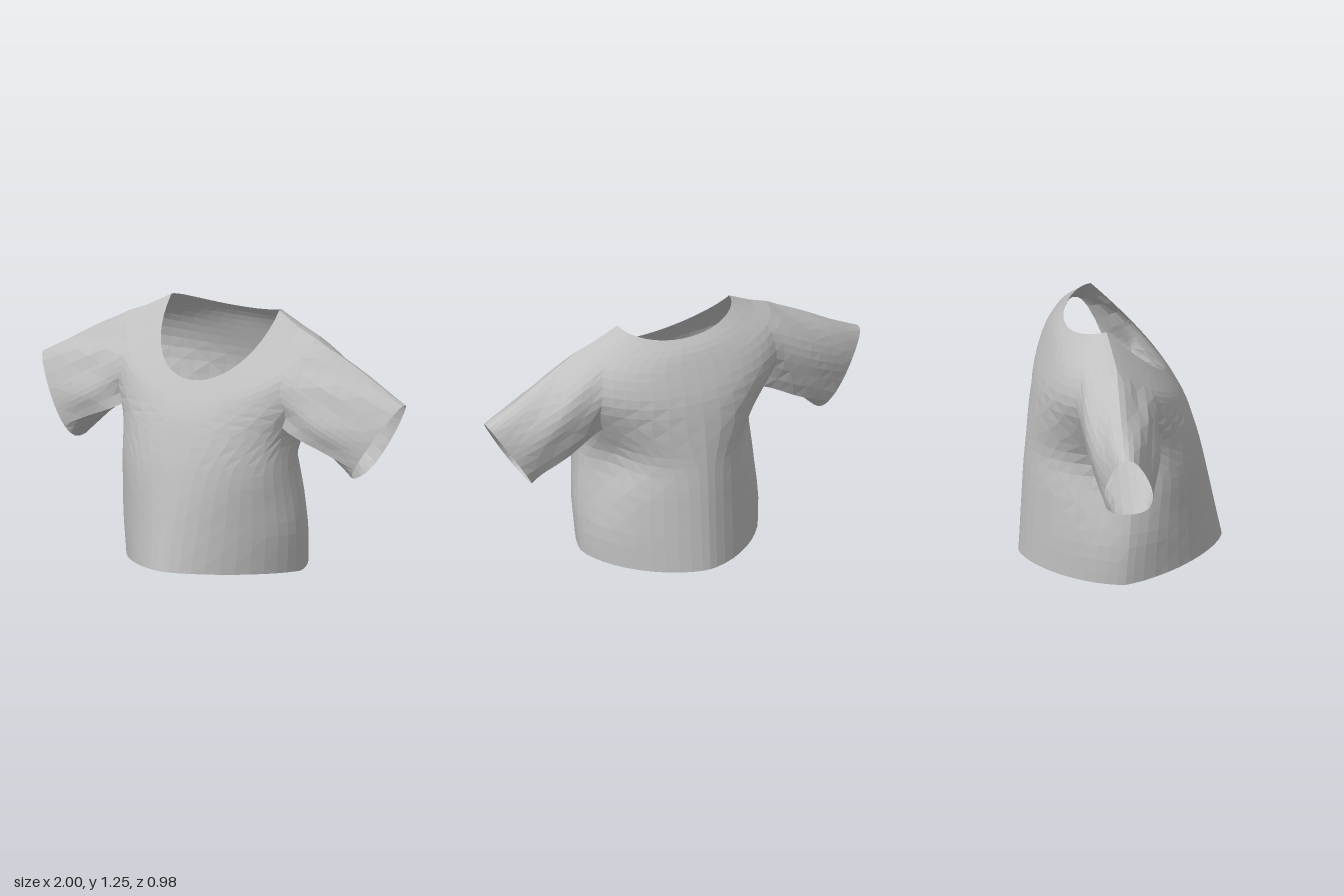
import * as THREE from 'three';

const COLS = 48, SUB = 3;            // columns round the body, rows per key ring
const HALF = 5, ROW0 = 12, ROW1 = 19; // armhole extent in columns and rows

// Key rings, hem to neckline: half width, side y, side z, front y, front z, back y, back z,
// front pointedness, back pointedness
const RINGS = [
  [0.46, 0.005, -0.03, 0.055, 0.49, 0.015, -0.485, 1.3, 1.22],
  [0.473, 0.20, -0.015, 0.22, 0.455, 0.20, -0.475, 1.25, 1.22],
  [0.462, 0.40, 0.0, 0.39, 0.42, 0.40, -0.465, 1.12, 1.2],
  [0.447, 0.59, 0.015, 0.55, 0.385, 0.57, -0.452, 1.0, 1.15],
  [0.485, 0.77, -0.05, 0.69, 0.345, 0.73, -0.435, 1.0, 1.05],
  [0.565, 0.97, -0.07, 0.77, 0.318, 0.90, -0.405, 1.15, 0.95],
  [0.545, 1.12, -0.075, 0.83, 0.288, 1.03, -0.36, 1.15, 0.93],
  [0.42, 1.185, -0.085, 0.885, 0.255, 1.13, -0.315, 1.05, 0.97],
  [0.30, 1.25, -0.10, 0.94, 0.22, 1.19, -0.265, 0.97, 1.0],
];

// Smoothly interpolated ring parameters
function ringAt(t) {
  const i = Math.min(Math.floor(t), RINGS.length - 2), f = t - i;
  const key = (k) => RINGS[Math.max(0, Math.min(RINGS.length - 1, k))];
  const [a, b, c, d] = [key(i - 1), key(i), key(i + 1), key(i + 2)];
  return b.map((v, k) => v + 0.5 * f * (c[k] - a[k]
    + f * (2 * a[k] - 5 * v + 4 * c[k] - d[k] + f * (3 * (v - c[k]) + d[k] - a[k]))));
}

const bell = (x, width) => Math.exp(-((x / width) ** 2));

// Point on the body cloth, with soft folds
function bodyPoint(row, col) {
  const t = row / SUB;
  const [w, ys, zs, yf, zf, yb, zb, ef, eb] = ringAt(t);
  // columns gather towards the side below and above the arm, rounding the armhole
  let a = (col / COLS) * Math.PI * 2;
  a -= (0.24 * bell(t - 4, 0.8) + 0.1 * bell(t - 6.5, 0.7)) * Math.sin(2 * a);
  const c = Math.cos(a), s = Math.sin(a), front = s > 0;
  const p = front ? ef : eb;
  const m = Math.pow(Math.abs(s), p);
  const x = w * Math.sign(c) * Math.pow(Math.abs(c), p);
  const y = front ? ys + (yf - ys) * m : ys + (yb - ys) * Math.pow(m, 1.5);
  const z = zs + ((front ? zf : zb) - zs) * m;
  // slanting hollow behind each arm, plus small ripples that fade at hem, neck and centre
  const hollow = front ? 0 : 0.1 * bell(-s - 0.35 - 0.6 * (y - 0.3), 0.25) * bell(y - 0.53, 0.25);
  const fade = Math.sin((Math.PI * row) / (SUB * (RINGS.length - 1))) * Math.abs(c);
  const ripple = 0.01 * fade * Math.sin(8 * s + 9 * y) * Math.sin(4 * s - 13 * y);
  const k = 1 - hollow + ripple;
  return new THREE.Vector3(x * k, y, zs + (z - zs) * k);
}

// Faceted cloth sheet from a grid of points
function sheet(rows, cols, point, skip, flip) {
  const pos = [], idx = [];
  for (let r = 0; r <= rows; r++)
    for (let c = 0; c < cols; c++) pos.push(...point(r, c).toArray());
  for (let r = 0; r < rows; r++)
    for (let c = 0; c < cols; c++) {
      if (skip && skip(r, c)) continue;
      const n = (c + 1) % cols;
      const q = [r * cols + c, (r + 1) * cols + c, (r + 1) * cols + n, r * cols + n];
      if (flip) q.reverse();
      // alternate the diagonals for an irregular weave of facets
      if ((r + c) % 2) idx.push(q[0], q[1], q[2], q[0], q[2], q[3]);
      else idx.push(q[0], q[1], q[3], q[1], q[2], q[3]);
    }
  const g = new THREE.BufferGeometry();
  g.setAttribute('position', new THREE.Float32BufferAttribute(pos, 3));
  g.setIndex(idx);
  const flat = g.toNonIndexed();
  flat.computeVertexNormals();
  return flat;
}

// Vertices round the left armhole: along the bottom, up the front, back over the top, down the back
function armholeLoop() {
  const loop = [];
  for (let c = -HALF; c < HALF; c++) loop.push(bodyPoint(ROW0, c));
  for (let r = ROW0; r < ROW1; r++) loop.push(bodyPoint(r, HALF));
  for (let c = HALF; c > -HALF; c--) loop.push(bodyPoint(ROW1, c));
  for (let r = ROW1; r > ROW0; r--) loop.push(bodyPoint(r, -HALF));
  return loop;
}

// Sleeve lofted from the armhole to the slanted cuff
function sleeveGeometry(side) {
  const loop = armholeLoop(), steps = 9;
  const up = new THREE.Vector3(0.526, 0.85, 0);
  const cuff = new THREE.Vector3(0.8825, 0.69, -0.07);
  const centre = loop.reduce((s, p) => s.add(p), new THREE.Vector3()).divideScalar(loop.length);
  const angles = loop.map((p) => {
    const d = p.clone().sub(centre);
    return Math.atan2(d.z / 0.17, d.dot(up) / 0.2);
  });
  const point = (r, c) => {
    const t = r / steps, f = angles[c], sf = Math.sin(f), cf = Math.cos(f);
    // cuff outline: wide and round below, narrow and blunt on top
    const end = cuff.clone().addScaledVector(up, 0.223 * cf);
    end.z += Math.sign(sf) * Math.pow(Math.abs(sf), 0.75) * (0.11 - 0.04 * cf) - 0.018 * cf;
    const p = loop[c].clone().lerp(end, t);
    // fullness and creases running along the sleeve, strongest near the armpit
    const fade = Math.sin(Math.PI * Math.pow(t, 0.7));
    const crease = 0.01 * fade * Math.sin(6 * f + 5 * t) * (1 - 0.5 * t);
    p.z += sf * (crease + 0.018 * Math.sin(Math.PI * t));
    p.addScaledVector(up, cf * crease * 0.6);
    p.x *= side;
    return p;
  };
  return sheet(steps, loop.length, point, null, side < 0);
}

export function createModel() {
  const cloth = new THREE.MeshStandardMaterial({ color: 0xc0c0c0, flatShading: true, side: THREE.DoubleSide });
  cloth.name = 'grey cloth';
  const model = new THREE.Group();
  model.name = 'shirt';
  const add = (name, geometry) => {
    const mesh = new THREE.Mesh(geometry, cloth);
    mesh.name = name;
    model.add(mesh);
  };

  // Body with an open hem, neck and two armholes
  const inArmhole = (r, c) => {
    const fromSide = (c + HALF) % (COLS / 2);
    return r >= ROW0 && r < ROW1 && fromSide < HALF * 2;
  };
  add('body', sheet(SUB * (RINGS.length - 1), COLS, bodyPoint, inArmhole, false));

  add('leftSleeve', sleeveGeometry(1));
  add('rightSleeve', sleeveGeometry(-1));
  return model;
}
